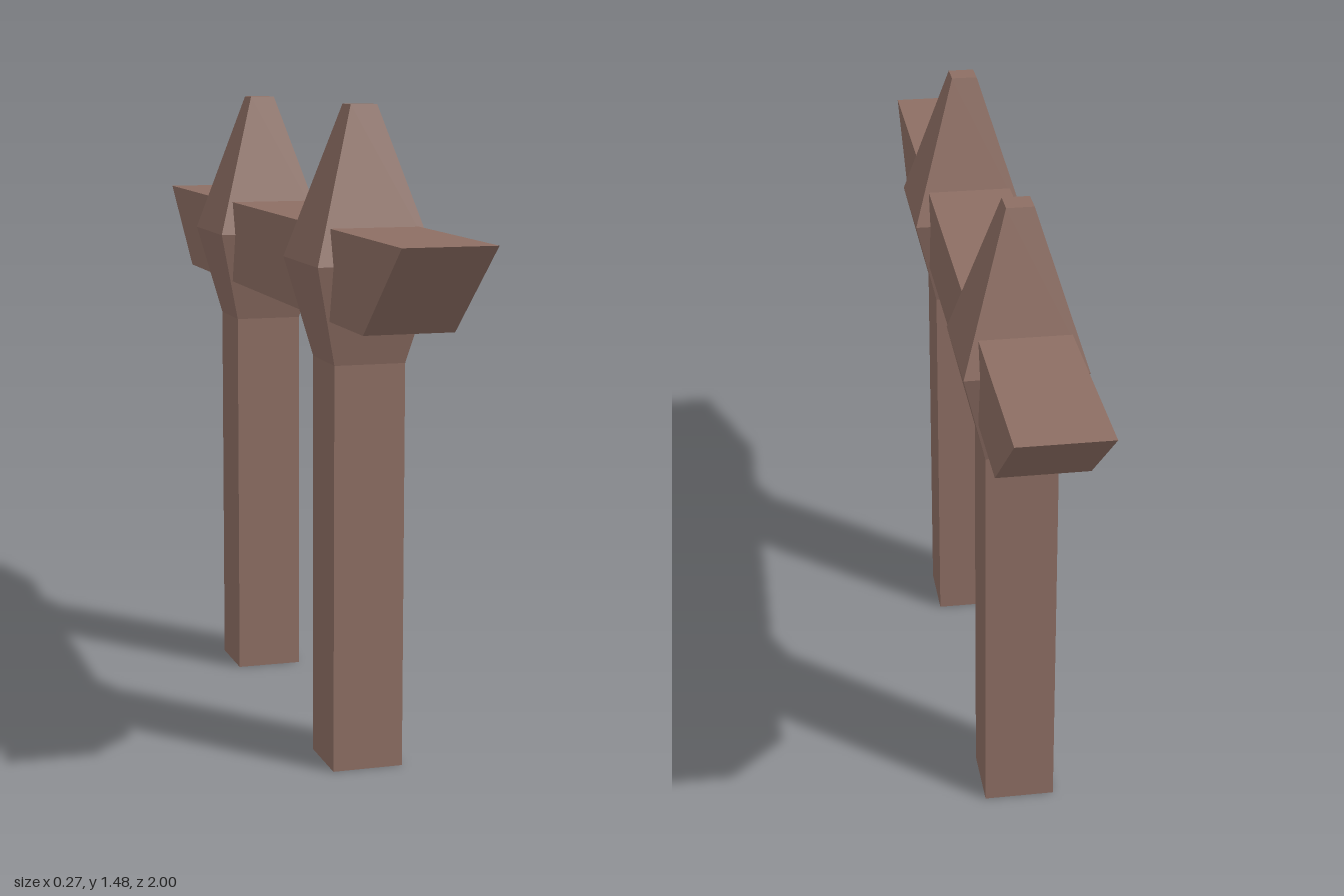
import * as THREE from 'three';

export function createModel() {
  const group = new THREE.Group();
  const wood = new THREE.MeshStandardMaterial({ color: 0x8d6e63, flatShading: true });

  // Square post flaring into a pointed cap: [half width, height]
  const profile = [[0, 0], [0.081, 0], [0.081, 0.92], [0.135, 1.14], [0.03, 1.48], [0, 1.48]]
    .map(([half, y]) => new THREE.Vector2(half * Math.SQRT2, y));
  const postGeometry = new THREE.LatheGeometry(profile, 4).rotateY(Math.PI / 4);
  for (const [name, z] of [['frontPost', 0.42], ['backPost', -0.42]]) {
    const post = new THREE.Mesh(postGeometry, wood);
    post.name = name;
    post.position.z = z;
    group.add(post);
  }

  // Crossbeam with slanted ends, longer along its top
  const side = new THREE.Shape([[-0.76, 1.02], [0.76, 1.02], [1, 1.22], [-1, 1.22]]
    .map(([z, y]) => new THREE.Vector2(z, y)));
  const beamGeometry = new THREE.ExtrudeGeometry(side, { depth: 0.2, bevelEnabled: false })
    .translate(0, 0, -0.1)
    .rotateY(Math.PI / 2);
  const beam = new THREE.Mesh(beamGeometry, wood);
  beam.name = 'crossbeam';
  group.add(beam);

  return group;
}
